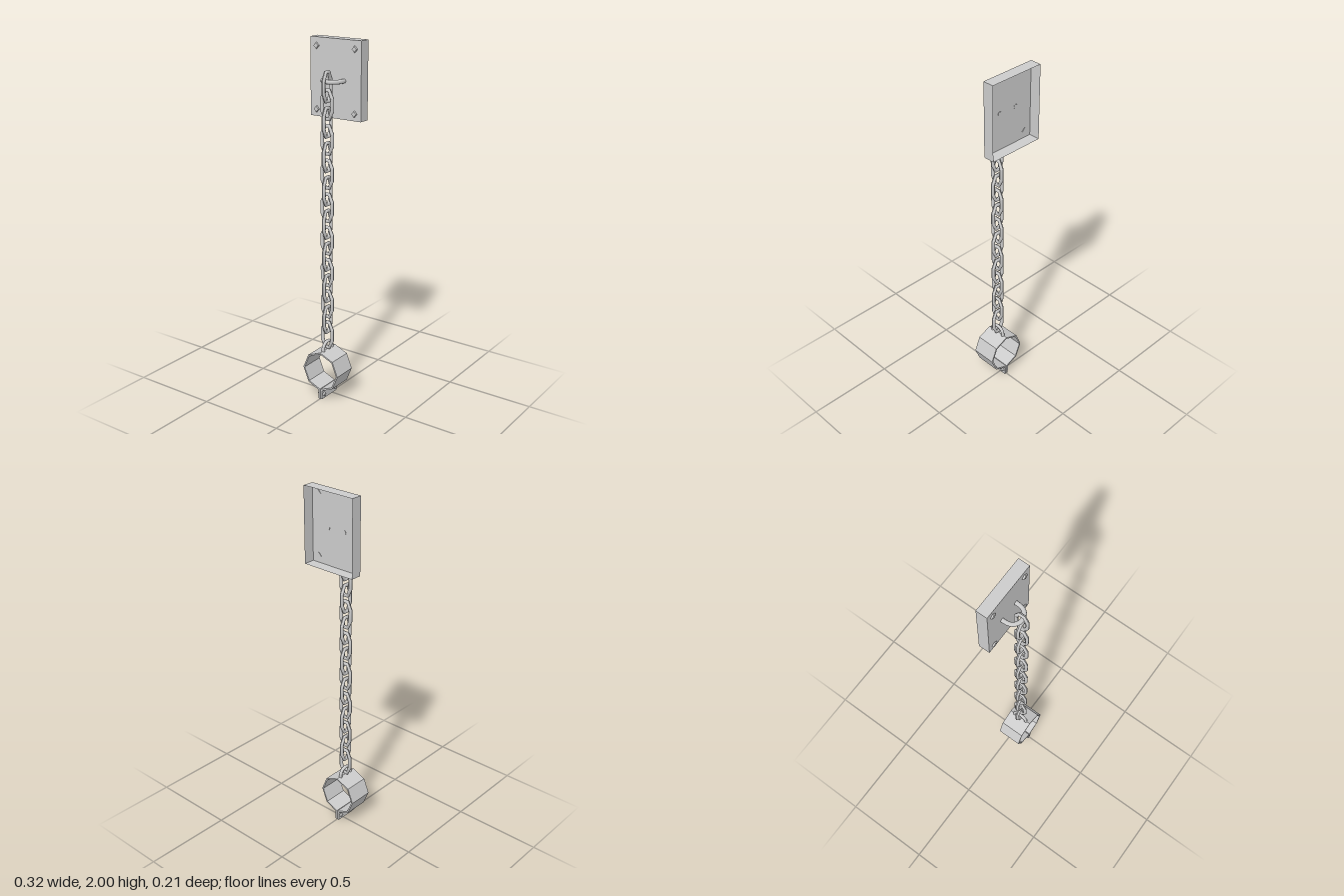
import * as THREE from 'three';

const Z = 0.032; // depth of chain and cuff centre
const smooth = new THREE.MeshStandardMaterial({ color: 0xcccccc });
const flat = new THREE.MeshStandardMaterial({ color: 0xcccccc, flatShading: true });
const thin = new THREE.MeshStandardMaterial({ color: 0xcccccc, flatShading: true, side: THREE.DoubleSide });

function add(parent, name, geometry, material, x = 0, y = 0, z = 0) {
  const mesh = new THREE.Mesh(geometry, material);
  mesh.name = name;
  mesh.position.set(x, y, z);
  parent.add(mesh);
  return mesh;
}

// Half loop with straight legs, built in the XY plane and opening downward
function stapleGeometry(radius, leg, tube) {
  const points = [new THREE.Vector3(radius, 0, 0)];
  for (let i = 0; i <= 8; i++) {
    const a = (i / 8) * Math.PI;
    points.push(new THREE.Vector3(radius * Math.cos(a), leg + radius * Math.sin(a), 0));
  }
  points.push(new THREE.Vector3(-radius, 0, 0));
  return new THREE.TubeGeometry(new THREE.CatmullRomCurve3(points), 14, tube, 8);
}

// Eight-segment ring, stretched in y while keeping the wire thickness
function linkGeometry() {
  const geo = new THREE.TorusGeometry(0.035, 0.0105, 8, 8);
  geo.rotateZ(Math.PI / 8);
  const p = geo.attributes.position;
  for (let i = 0; i < p.count; i++) {
    const a = Math.atan2(p.getY(i), p.getX(i));
    p.setY(i, p.getY(i) + 0.046 * Math.sin(a));
  }
  geo.computeVertexNormals();
  return geo;
}

// Open-backed box
function plateGeometry(w, h, d) {
  const geo = new THREE.BoxGeometry(w, h, d);
  geo.setIndex(Array.from(geo.index.array).slice(0, 30)); // drop the back face
  geo.clearGroups();
  return geo;
}

// Four-sided bolt head facing +z
function boltGeometry(radius, height) {
  const geo = new THREE.CylinderGeometry(radius * 0.75, radius, height, 4);
  geo.rotateX(Math.PI / 2);
  return geo;
}

// Octagonal band with two clamp tabs below, extruded along z
function cuffGeometry() {
  const R = 0.117, t = 0.009, cy = 0.168, depth = 0.142;
  const outer = [], inner = [];
  for (let i = 1; i < 8; i++) {
    const a = -Math.PI / 2 + (i * Math.PI) / 4;
    outer.push(new THREE.Vector2(R * Math.cos(a), cy + R * Math.sin(a)));
    inner.push(new THREE.Vector2((R - t) * Math.cos(a), cy + (R - t) * Math.sin(a)));
  }
  const v = (x, y) => new THREE.Vector2(x, y);
  const outline = [
    v(0.012, 0), v(0.012, 0.053), ...outer, v(-0.012, 0.053), v(-0.012, 0),
    v(-0.002, 0), v(-0.002, 0.06), ...inner.reverse(), v(0.002, 0.06), v(0.002, 0),
  ];
  const geo = new THREE.ExtrudeGeometry(new THREE.Shape(outline), { depth, bevelEnabled: false });
  geo.translate(0, 0, -depth / 2);
  return geo;
}

export function createModel() {
  const model = new THREE.Group();
  model.name = 'wallShackle';

  // Wall plate with its corner bolts and staple
  const wall = new THREE.Group();
  wall.name = 'wallMount';
  model.add(wall);
  add(wall, 'wallPlate', plateGeometry(0.32, 0.416, 0.063), thin, 0, 1.792, -0.0735);
  const bolt = boltGeometry(0.02, 0.012);
  for (const x of [-0.12, 0.12]) {
    for (const y of [1.622, 1.955]) add(wall, 'plateBolt', bolt, flat, x, y, -0.04);
  }
  const staple = add(wall, 'wallStaple', stapleGeometry(0.054, 0.024, 0.012), smooth, 0, 1.787, -0.044);
  staple.rotation.x = Math.PI / 2;

  // Chain of links turned alternately by a quarter
  const chain = new THREE.Group();
  chain.name = 'chain';
  model.add(chain);
  const link = linkGeometry();
  for (let i = 0; i < 16; i++) {
    const mesh = add(chain, 'chainLink', link, smooth, 0, 1.762 - i * 0.0927, Z);
    if (i % 2 === 0) mesh.rotation.y = Math.PI / 2;
  }

  // Cuff with its loop and clamp bolts
  const cuff = new THREE.Group();
  cuff.name = 'cuff';
  cuff.position.z = Z - 0.001;
  model.add(cuff);
  add(cuff, 'cuffBand', cuffGeometry(), flat);
  const loop = add(cuff, 'cuffLoop', stapleGeometry(0.041, 0.012, 0.0095), smooth, 0, 0.279, 0);
  loop.rotation.y = Math.PI / 2;
  const clampBolt = boltGeometry(0.014, 0.011);
  for (const side of [-1, 1]) {
    for (const z of [-0.052, 0.052]) {
      const mesh = add(cuff, 'clampBolt', clampBolt, flat, side * 0.0165, 0.027, z);
      mesh.rotation.y = (side * Math.PI) / 2;
    }
  }
  return model;
}
